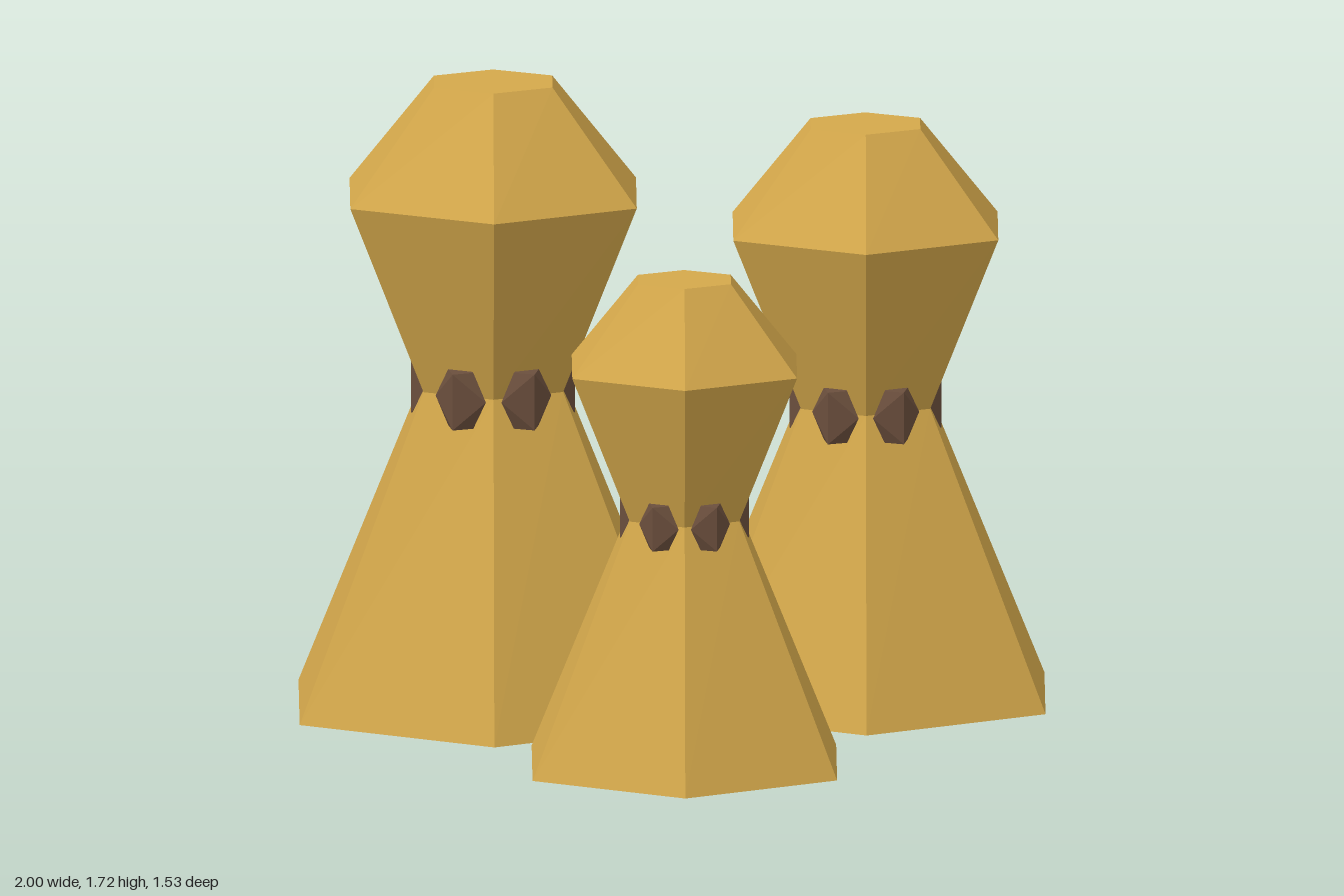
import * as THREE from 'three';
import { ConvexGeometry } from 'three/addons/geometries/ConvexGeometry.js';

const gold = new THREE.MeshStandardMaterial({ color: 0xd4a84b });
gold.name = 'gold';
const brown = new THREE.MeshStandardMaterial({ color: 0x6b4f3d });
brown.name = 'brown';

// Rings from the base up: height share, half width in x, radius in z
// (widths are shares of the base half width)
const RINGS = [
  [0, 1, 0.912],
  [0.512, 0.36, 0.31],
  [0.82, 0.738, 0.626],
  [1, 0.305, 0.243],
];

// Six-sided hourglass body with a bevelled top
function bodyGeometry(halfWidth, height) {
  const geo = new THREE.CylinderGeometry(1, 1, 3, 6, 3);
  const p = geo.attributes.position;
  for (let i = 0; i < p.count; i++) {
    const [y, w, r] = RINGS[Math.round(p.getY(i) + 1.5)];
    p.setXYZ(
      i,
      (p.getX(i) / Math.cos(Math.PI / 6)) * w * halfWidth,
      y * height,
      p.getZ(i) * r * halfWidth
    );
  }
  const flat = geo.toNonIndexed();
  flat.computeVertexNormals();
  return flat;
}

// Six-cornered stud with an upright ridge facing outwards (+z)
function studGeometry(size) {
  const points = [];
  for (const s of [-1, 1]) {
    points.push(new THREE.Vector3(s * size, 0, 0));
    for (const t of [-1, 1]) {
      points.push(new THREE.Vector3(s * size * 0.5, t * size, 0));
    }
    points.push(new THREE.Vector3(0, s * size, size * 0.57));
    points.push(new THREE.Vector3(0, s * size, -size * 0.57));
  }
  return new ConvexGeometry(points);
}

function makePiece(name, x, z, halfWidth, height) {
  const piece = new THREE.Group();
  piece.name = name;
  piece.position.set(x, 0, z);

  const body = new THREE.Mesh(bodyGeometry(halfWidth, height), gold);
  body.name = 'body';
  piece.add(body);

  // Ring of studs around the waist, one on each face
  const studs = new THREE.Group();
  studs.name = 'waistStuds';
  const geo = studGeometry(halfWidth * 0.149);
  const ring = halfWidth * 0.338;
  for (let i = 0; i < 6; i++) {
    const angle = ((i + 0.5) * Math.PI) / 3;
    const stud = new THREE.Mesh(geo, brown);
    stud.name = 'stud';
    stud.position.set(Math.sin(angle) * ring, height * RINGS[1][0], Math.cos(angle) * ring);
    stud.rotation.y = angle;
    studs.add(stud);
  }
  piece.add(studs);
  return piece;
}

export function createModel() {
  const model = new THREE.Group();
  model.name = 'hourglassTrio';
  model.add(
    makePiece('tallPiece', -0.48, -0.245, 0.52, 1.72),
    makePiece('middlePiece', 0.518, -0.327, 0.481, 1.58),
    makePiece('shortPiece', 0.028, 0.393, 0.408, 1.34)
  );
  return model;
}
